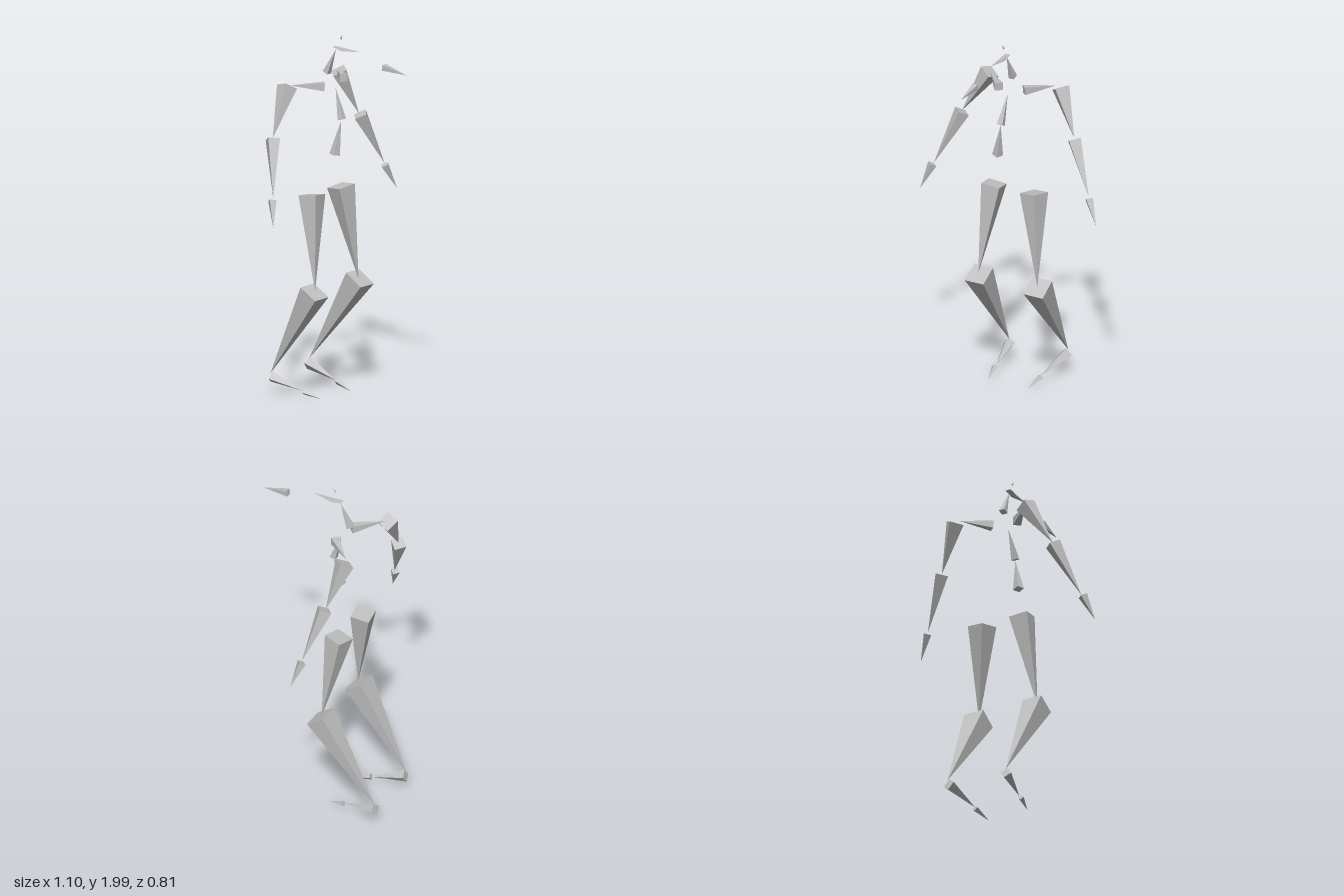
import * as THREE from 'three';

const V = (p) => new THREE.Vector3(...p);

export function createModel() {
  const group = new THREE.Group();
  const grey = new THREE.MeshStandardMaterial({ color: 0xc0c0c0 });
  grey.name = 'boneGrey';

  // Unit pyramid: square base of side 1 at the origin, apex at y = 1
  const unit = new THREE.ConeGeometry(Math.SQRT1_2, 1, 4).rotateY(Math.PI / 4).translate(0, 0.5, 0).toNonIndexed();

  // Pyramid bone from base centre to apex; edge is the direction of one base side,
  // slant optionally replaces the second base side with a skewed one
  function bone(name, base, apex, side, edge = [1, 0, 0], slant = null) {
    const axis = V(apex).sub(V(base));
    const dir = axis.clone().normalize();
    const u = V(edge).addScaledVector(dir, -V(edge).dot(dir)).normalize();
    const w = slant ? V(slant) : u.clone().cross(dir).multiplyScalar(side);
    u.multiplyScalar(side);
    const matrix = new THREE.Matrix4().makeBasis(u, axis, w).setPosition(V(base));
    const geometry = unit.clone().applyMatrix4(matrix);
    geometry.computeVertexNormals();
    const mesh = new THREE.Mesh(geometry, grey);
    mesh.name = name;
    group.add(mesh);
  }

  // Legs
  bone('leftThigh', [0.127, 1.128, -0.135], [0.19, 0.615, -0.065], 0.108, [0.105, 0, 0.025]);
  bone('rightThigh', [-0.125, 1.125, -0.137], [-0.183, 0.612, -0.07], 0.106, [0.1, 0, -0.015]);
  bone('leftShin', [0.196, 0.616, -0.06], [0.184, 0.13, -0.395], 0.119);
  bone('rightShin', [-0.182, 0.606, -0.075], [-0.175, 0.115, -0.38], 0.117);
  bone('leftFoot', [0.177, 0.106, -0.393], [0.143, 0.045, -0.18], 0.05, [1, 0.85, 0]);
  bone('rightFoot', [-0.172, 0.098, -0.373], [-0.14, 0.04, -0.185], 0.047, [1, -0.7, 0]);
  bone('leftToe', [0.147, 0.042, -0.175], [0.125, 0.006, -0.07], 0.026, [1, 0.8, 0]);
  bone('rightToe', [-0.142, 0.038, -0.175], [-0.122, 0.006, -0.075], 0.026, [1, -0.8, 0]);

  // Shoulders and arms
  bone('leftCollarbone', [0.092, 1.735, -0.09], [0.21, 1.738, -0.228], 0.043, [0, 1, 0]);
  bone('rightCollarbone', [-0.07, 1.717, -0.096], [-0.203, 1.728, -0.228], 0.045, [0, 1, 0]);
  bone('leftUpperArm', [0.235, 1.728, -0.235], [0.35, 1.475, -0.185], 0.079, [0.055, 0.035, 0.055]);
  bone('rightUpperArm', [-0.212, 1.722, -0.238], [-0.37, 1.47, -0.213], 0.079, [0.07, -0.041, 0.03]);
  bone('leftForearm', [0.354, 1.473, -0.18], [0.483, 1.188, -0.115], 0.066, [0.035, 0.027, 0.05]);
  bone('rightForearm', [-0.37, 1.465, -0.212], [-0.49, 1.17, -0.115], 0.064, [-0.035, 0.027, 0.045]);
  bone('leftHand', [0.485, 1.18, -0.115], [0.548, 1.045, -0.082], 0.038, [0.035, 0.027, 0.045]);
  bone('rightHand', [-0.498, 1.165, -0.115], [-0.548, 1.028, -0.07], 0.038, [-0.035, 0.027, 0.045]);

  // Spine, neck and head
  bone('lowerSpine', [-0.046, 1.344, -0.044], [-0.014, 1.53, -0.024], 0.042, [1, 0, 0.35]);
  bone('upperSpine', [-0.012, 1.535, -0.021], [0, 1.7, -0.073], 0.034, [1, 0, -0.1]);
  bone('neck', [-0.003, 1.778, -0.13], [-0.003, 1.915, -0.068], 0.034);
  bone('skull', [-0.003, 1.92, -0.05], [-0.003, 1.921, 0.1], 0.032, [1, 0, 0], [0, -0.015, 0.06]);
  bone('jaw', [-0.003, 1.861, 0.258], [-0.003, 1.838, 0.41], 0.033);
  bone('crown', [-0.002, 1.975, -0.036], [-0.004, 2, -0.024], 0.008);

  return group;
}
